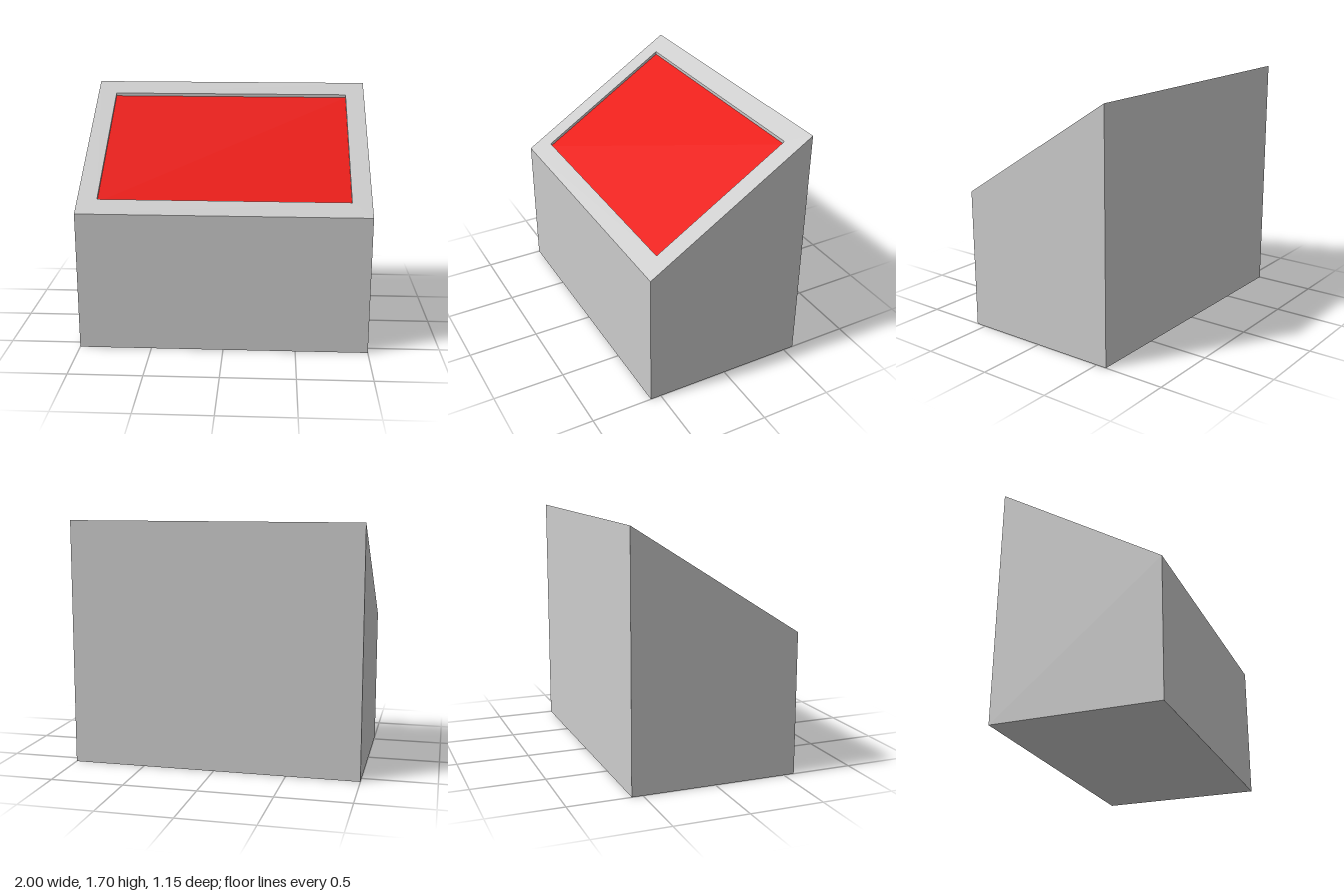
import * as THREE from 'three';

const HALF_W = 1, HALF_D = 0.575;        // body footprint
const PANEL_W = 0.864, PANEL_D = 0.46;   // recessed panel footprint
const RECESS = 0.021;

// Height of the sloping top at depth z
const slopeY = (z) => 1.332 - 0.632 * z;

// Four corners, counter-clockwise seen from above
const ring = (w, d, height) =>
  [[-w, d], [w, d], [w, -d], [-w, -d]].map(([x, z]) => [x, height(z), z]);

// Flat-faced geometry from four-cornered faces
function quads(faces) {
  const points = faces.flatMap(([a, b, c, d]) => [a, b, c, a, c, d]).flat();
  const geometry = new THREE.BufferGeometry();
  geometry.setAttribute('position', new THREE.Float32BufferAttribute(points, 3));
  geometry.computeVertexNormals();
  return geometry;
}

// Band of faces joining one ring to the next
const band = (a, b) => a.map((p, i) => {
  const j = (i + 1) % a.length;
  return [p, a[j], b[j], b[i]];
});

export function createModel() {
  const group = new THREE.Group();
  group.name = 'slopedConsole';

  const base = ring(HALF_W, HALF_D, () => 0);
  const rim = ring(HALF_W, HALF_D, slopeY);
  const opening = ring(PANEL_W, PANEL_D, slopeY);
  const floor = ring(PANEL_W, PANEL_D, (z) => slopeY(z) - RECESS);

  // Housing: underside, outer walls, sloping frame and recess walls
  const housing = new THREE.Mesh(
    quads([
      [...base].reverse(),
      ...band(base, rim),
      ...band(rim, opening),
      ...band(opening, floor),
    ]),
    new THREE.MeshStandardMaterial({ color: 0xcccccc, flatShading: true })
  );
  housing.name = 'housing';

  // Red panel at the bottom of the recess
  const panel = new THREE.Mesh(
    quads([floor]),
    new THREE.MeshStandardMaterial({ color: 0xe8130c, flatShading: true })
  );
  panel.name = 'panel';

  group.add(housing, panel);
  return group;
}
